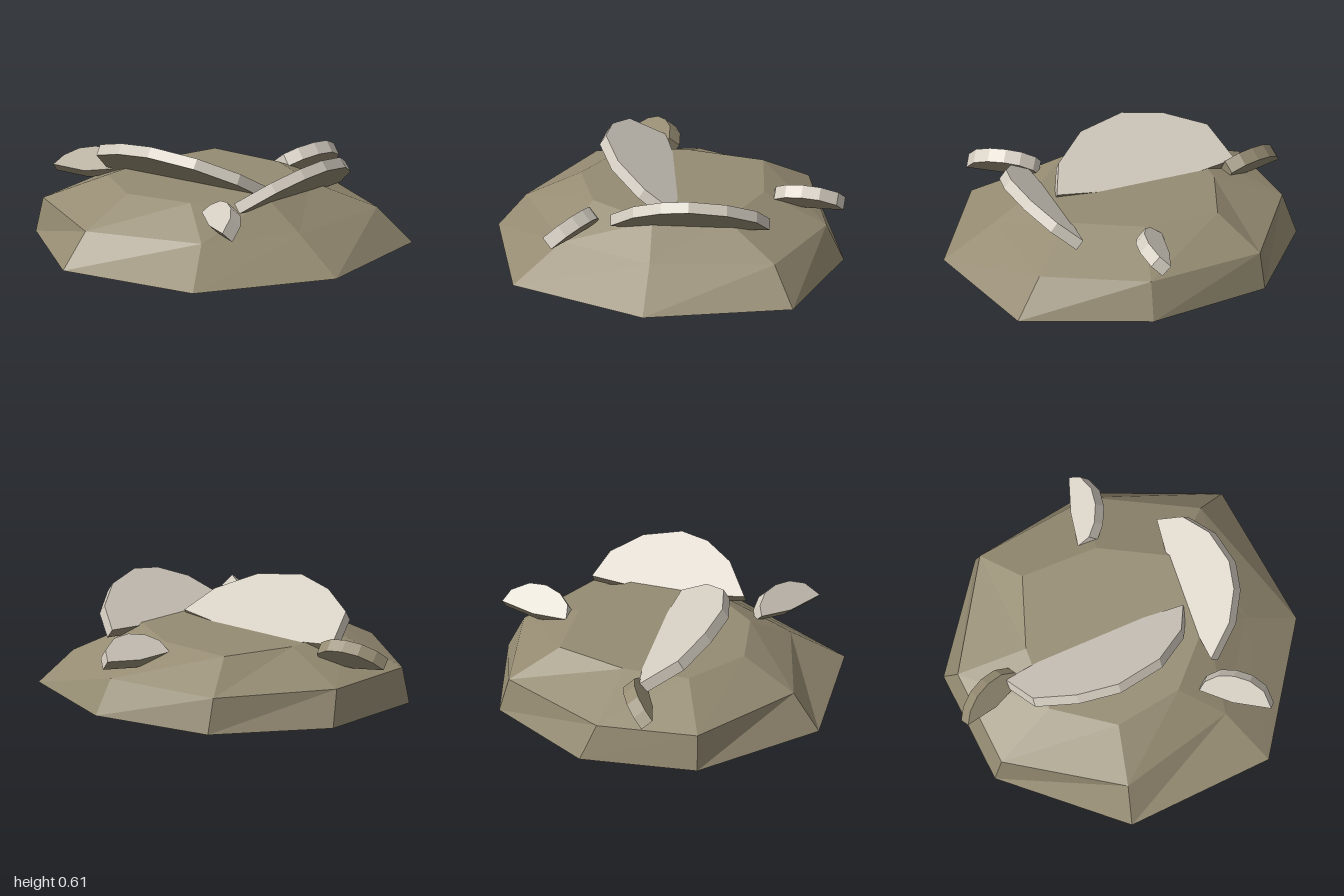
import * as THREE from 'three';

const stone = new THREE.MeshStandardMaterial({ color: 0x968c73, flatShading: true });
stone.name = 'brown stone';
const pale = new THREE.MeshStandardMaterial({ color: 0xd3ccc0, flatShading: true });
pale.name = 'pale shell';

// Collects triangles from corner loops and returns a flat-shaded geometry
class Builder {
  constructor() { this.pos = []; this.geo = new THREE.BufferGeometry(); this.start = 0; }
  tri(...corners) { for (const c of corners) this.pos.push(c.x, c.y, c.z); }
  quad(a, b, c, d) { this.tri(a, b, c); this.tri(a, c, d); }
  fan(loop) { for (let i = 1; i < loop.length - 1; i++) this.tri(loop[0], loop[i], loop[i + 1]); }
  endGroup(material) {
    const n = this.pos.length / 3;
    this.geo.addGroup(this.start, n - this.start, material);
    this.start = n;
  }
  finish() {
    this.geo.setAttribute('position', new THREE.Float32BufferAttribute(this.pos, 3));
    this.geo.computeVertexNormals();
    return this.geo;
  }
}

// Irregular eight-sided mound made of three stacked outlines [x, z]
function makeMound() {
  const outlines = [
    [0, [[-0.06, -1], [-0.73, -0.69], [-1, 0.03 - 0.06], [-0.8, 0.61], [-0.08, 0.99], [0.73, 0.71], [1, -0.1], [0.69, -0.89]]],
    [0.2, [[-0.06, -0.9], [-0.71, -0.64], [-0.93, 0.04], [-0.76, 0.59], [-0.08, 0.83], [0.52, 0.48], [0.71, -0.07], [0.55, -0.75]]],
    [0.36, [[-0.07, -0.54], [-0.5, -0.43], [-0.54, 0], [-0.46, 0.37], [-0.09, 0.52], [0.27, 0.36], [0.48, -0.03], [0.36, -0.43]]],
  ];
  const rings = outlines.map(([y, pts]) => pts.map(([x, z]) => new THREE.Vector3(x, y, z)));
  const b = new Builder();
  for (let r = 0; r < 2; r++) {
    const lo = rings[r], hi = rings[r + 1];
    for (let i = 0; i < 8; i++) {
      const j = (i + 1) % 8;
      b.quad(lo[i], lo[j], hi[j], hi[i]);
    }
  }
  b.fan(rings[2]);
  b.fan([...rings[0]].reverse());
  const mesh = new THREE.Mesh(b.finish(), stone);
  mesh.name = 'mound';
  return mesh;
}

// Half-disc plate: face lies on y = a + b x + c z, arc points come first,
// then the chord points; thickness goes down along the face normal
function makePlate({ name, plane: [a, b, c], arc, chord = [], thick, materials }) {
  const normal = new THREE.Vector3(-b, 1, -c).normalize();
  const top = [...arc, ...chord].map(([x, z]) => new THREE.Vector3(x, a + b * x + c * z, z));
  const low = top.map((p) => p.clone().addScaledVector(normal, -thick));
  const n = top.length;
  const wall = (i) => build.quad(low[i], low[(i + 1) % n], top[(i + 1) % n], top[i]);
  const build = new Builder();
  // fan from the first arc point keeps every half-disc face convex
  build.fan(top);
  build.endGroup(0);
  for (let i = 0; i < arc.length - 1; i++) wall(i);
  build.endGroup(1);
  for (let i = arc.length - 1; i < n; i++) wall(i);
  build.fan([...low].reverse());
  build.endGroup(2);
  const mesh = new THREE.Mesh(build.finish(), materials);
  mesh.name = name;
  return mesh;
}

export function createModel() {
  const group = new THREE.Group();
  group.name = 'shellMound';
  group.add(makeMound());

  const paleSet = [pale, pale, stone];
  const plates = [
    {
      name: 'largeFrontPlate', plane: [0.393, 0.18, 0.62], thick: 0.065, materials: paleSet,
      arc: [[-0.68, 0.17], [-0.55, 0.35], [-0.31, 0.39], [-0.07, 0.37], [0.18, 0.24], [0.33, 0.05], [0.365, -0.13]],
      chord: [[-0.18, -0.04]],
    },
    {
      name: 'largeLeftPlate', plane: [0.044, 0.76, -0.145], thick: 0.065, materials: paleSet,
      arc: [[0.475, 0.21], [0.6, 0.05], [0.65, -0.12], [0.645, -0.28], [0.56, -0.48], [0.43, -0.62], [0.29, -0.66]],
      chord: [[0.33, -0.33], [0.41, 0.01]],
    },
    {
      name: 'smallBackPlate', plane: [0.47, 0.85, 0], thick: 0.075, materials: paleSet,
      arc: [[-0.165, -0.575], [-0.1, -0.6], [-0.06, -0.67], [-0.04, -0.77], [-0.05, -0.87], [-0.1, -0.96], [-0.16, -0.985]],
      chord: [[-0.178, -0.78]],
    },
    {
      name: 'smallFrontLeftPlate', plane: [0.555, 0.39, -1], thick: 0.08, materials: paleSet,
      arc: [[0.77, 0.53], [0.74, 0.45], [0.67, 0.39], [0.585, 0.35], [0.5, 0.33], [0.42, 0.34], [0.385, 0.37]],
      chord: [[0.56, 0.46]],
    },
    {
      name: 'smallRightPlate', plane: [0.135, -0.625, -1], thick: 0.08, materials: [stone, stone, stone],
      arc: [[-0.6, 0.18], [-0.62, 0.14], [-0.7, 0.155], [-0.78, 0.2], [-0.85, 0.26], [-0.9, 0.33], [-0.92, 0.39]],
      chord: [[-0.75, 0.3]],
    },
  ];
  for (const p of plates) group.add(makePlate(p));
  return group;
}
